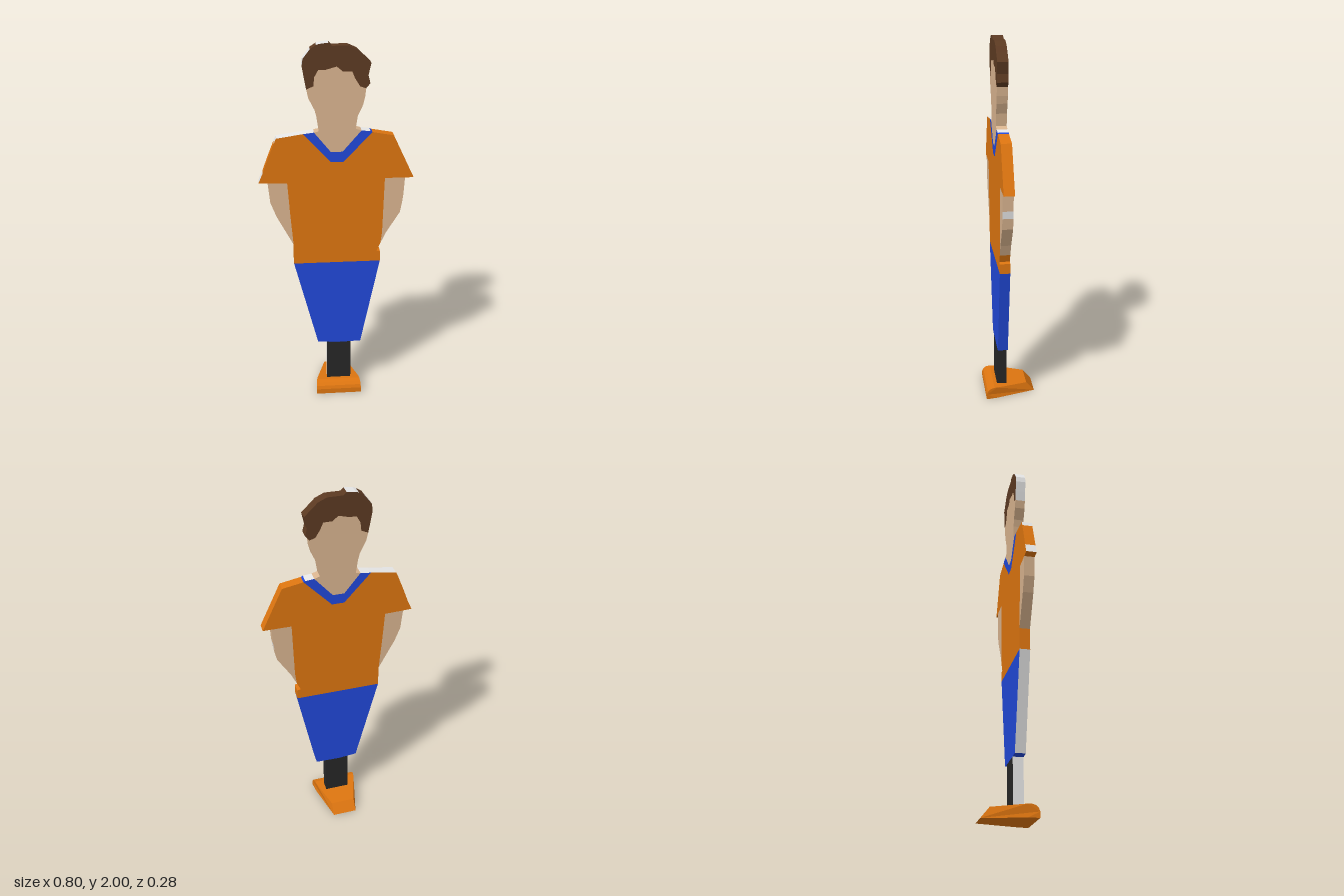
import * as THREE from 'three';

const BACK = 0.02, FRONT = 0.075;   // the figure is a flat slab between these depths

const mat = (name, color, side = THREE.FrontSide) => {
  const m = new THREE.MeshStandardMaterial({ color, side });
  m.name = name;
  return m;
};

// A slab from a counter-clockwise outline of [x, y, edge].
// edge (from this point to the next): 1 = unpainted wall, 2 = joined to a neighbour, so no wall.
function slab(name, outline, paint, bare) {
  const group = new THREE.Group();
  group.name = name;
  const shape = new THREE.Shape(outline.map(([x, y]) => new THREE.Vector2(x, y)));
  const front = new THREE.ShapeGeometry(shape).translate(0, 0, FRONT);
  const back = front.clone().translate(0, 0, BACK - FRONT);
  back.index.array.reverse();
  back.computeVertexNormals();
  const add = (part, geometry, material) => {
    const mesh = new THREE.Mesh(geometry, material);
    mesh.name = `${name}${part}`;
    group.add(mesh);
  };
  add('Front', front, paint);
  add('Back', back, paint);

  // walls, sorted by finish
  [[0, 'Edge', paint], [1, 'BareEdge', bare]].forEach(([flag, part, material]) => {
    const pos = [];
    outline.forEach(([ax, ay, edge = 0], i) => {
      if (edge !== flag) return;
      const [bx, by] = outline[(i + 1) % outline.length];
      pos.push(ax, ay, FRONT, ax, ay, BACK, bx, by, BACK);
      pos.push(ax, ay, FRONT, bx, by, BACK, bx, by, FRONT);
    });
    if (!pos.length) return;
    const g = new THREE.BufferGeometry();
    g.setAttribute('position', new THREE.Float32BufferAttribute(pos, 3));
    g.computeVertexNormals();
    add(part, g, material);
  });
  return group;
}

// Wedge foot: side profile [z, y] extruded across, then tapered toward the heel
function foot(material) {
  const profile = [[0.14, 0], [0.14, 0.03], [0.133, 0.048], [0.118, 0.062], [0.095, 0.068],
    [0.08, 0.067], [-0.095, 0.055], [-0.14, 0], [0.08, 0]];
  const shape = new THREE.Shape(profile.map(([z, y]) => new THREE.Vector2(z, y)));
  const g = new THREE.ExtrudeGeometry(shape, { depth: 1, bevelEnabled: false });
  g.rotateY(-Math.PI / 2).translate(0.5, 0, 0);
  const p = g.attributes.position;
  for (let i = 0; i < p.count; i++) {
    const y = p.getY(i), z = p.getZ(i);
    const behind = Math.max(0, 0.08 - z);
    const half = z > 0.08 ? 0.12 + (z - 0.08) * 0.13 : 0.12 - behind * 0.239 - y * 0.19 * behind / 0.175;
    p.setX(i, 0.008 + p.getX(i) * 2 * half);
  }
  g.computeVertexNormals();
  const mesh = new THREE.Mesh(g, material);
  mesh.name = 'foot';
  return mesh;
}

export function createModel() {
  const orange = mat('orange', 0xdd7510);
  const blue = mat('blue', 0x2148d8);
  const skin = mat('skin', 0xd9b48f);
  const brown = mat('hair brown', 0x5c3a22);
  const black = mat('black', 0x262626);
  const bare = mat('bare white', 0xf0f0f0);

  const parts = {
    hair: [brown, [
      [-0.15, 1.775, 2], [-0.115, 1.79, 2], [-0.11, 1.835, 2], [-0.09, 1.87, 2], [-0.055, 1.87, 2],
      [0, 1.885, 2], [0.03, 1.86, 2], [0.075, 1.86, 2], [0.09, 1.825, 2], [0.115, 1.785, 2],
      [0.145, 1.775], [0.165, 1.8], [0.155, 1.84], [0.168, 1.9], [0.125, 1.94], [0.1, 1.965],
      [0.055, 1.985], [-0.025, 1.985], [-0.04, 2, 1], [-0.085, 1.995, 1], [-0.1, 1.99],
      [-0.13, 1.97, 1], [-0.165, 1.925, 1], [-0.17, 1.89, 1], [-0.16, 1.83, 1]]],
    head: [skin, [
      [-0.115, 1.555, 2], [-0.03, 1.45, 2], [0.03, 1.45, 2], [0.125, 1.56], [0.095, 1.57],
      [0.105, 1.635], [0.13, 1.69], [0.14, 1.73], [0.145, 1.775, 2], [0.115, 1.785, 2],
      [0.09, 1.825, 2], [0.075, 1.86, 2], [0.03, 1.86, 2], [0, 1.885, 2], [-0.055, 1.87, 2],
      [-0.09, 1.87, 2], [-0.11, 1.835, 2], [-0.115, 1.79, 2], [-0.15, 1.775], [-0.14, 1.73],
      [-0.125, 1.7], [-0.11, 1.67], [-0.1, 1.63], [-0.09, 1.56]]],
    collar: [blue, [
      [-0.17, 1.548, 2], [-0.03, 1.395, 2], [0.035, 1.395, 2], [0.18, 1.55], [0.17, 1.555, 1],
      [0.125, 1.56, 2], [0.03, 1.45, 2], [-0.03, 1.45, 2], [-0.115, 1.555, 1]]],
    shirt: [orange, [
      [-0.23, 0.82, 2], [0.235, 0.82], [0.235, 0.875], [0.215, 0.88], [0.235, 0.925, 2],
      [0.243, 0.99, 2], [0.25, 1.3, 2], [0.355, 1.3], [0.4, 1.3], [0.29, 1.53], [0.18, 1.55, 2],
      [0.035, 1.395, 2], [-0.03, 1.395, 2], [-0.17, 1.548, 1], [-0.305, 1.528, 1], [-0.318, 1.5],
      [-0.35, 1.42], [-0.378, 1.345, 1], [-0.402, 1.29], [-0.355, 1.288, 2], [-0.255, 1.285, 2],
      [-0.245, 1.13, 2], [-0.23, 0.935]]],
    leftArm: [skin, [
      [0.25, 1.3, 2], [0.243, 0.99, 2], [0.235, 0.925], [0.265, 0.99], [0.335, 1.105],
      [0.345, 1.165, 1], [0.35, 1.205], [0.355, 1.3, 2]]],
    rightArm: [skin, [
      [-0.255, 1.285, 2], [-0.355, 1.288], [-0.345, 1.18], [-0.315, 1.1], [-0.23, 0.935, 2],
      [-0.245, 1.13, 2]]],
    shorts: [blue, [
      [-0.105, 0.315], [0, 0.305], [0.135, 0.31], [0.235, 0.82, 2], [-0.23, 0.82, 1]]],
    leg: [black, [[-0.055, 0.06], [0.08, 0.06], [0.08, 0.31, 2], [-0.055, 0.31, 1]]],
  };

  const model = new THREE.Group();
  model.name = 'tableFootballPlayer';
  for (const [name, [paint, outline]] of Object.entries(parts)) model.add(slab(name, outline, paint, bare));
  model.add(foot(orange));
  return model;
}
